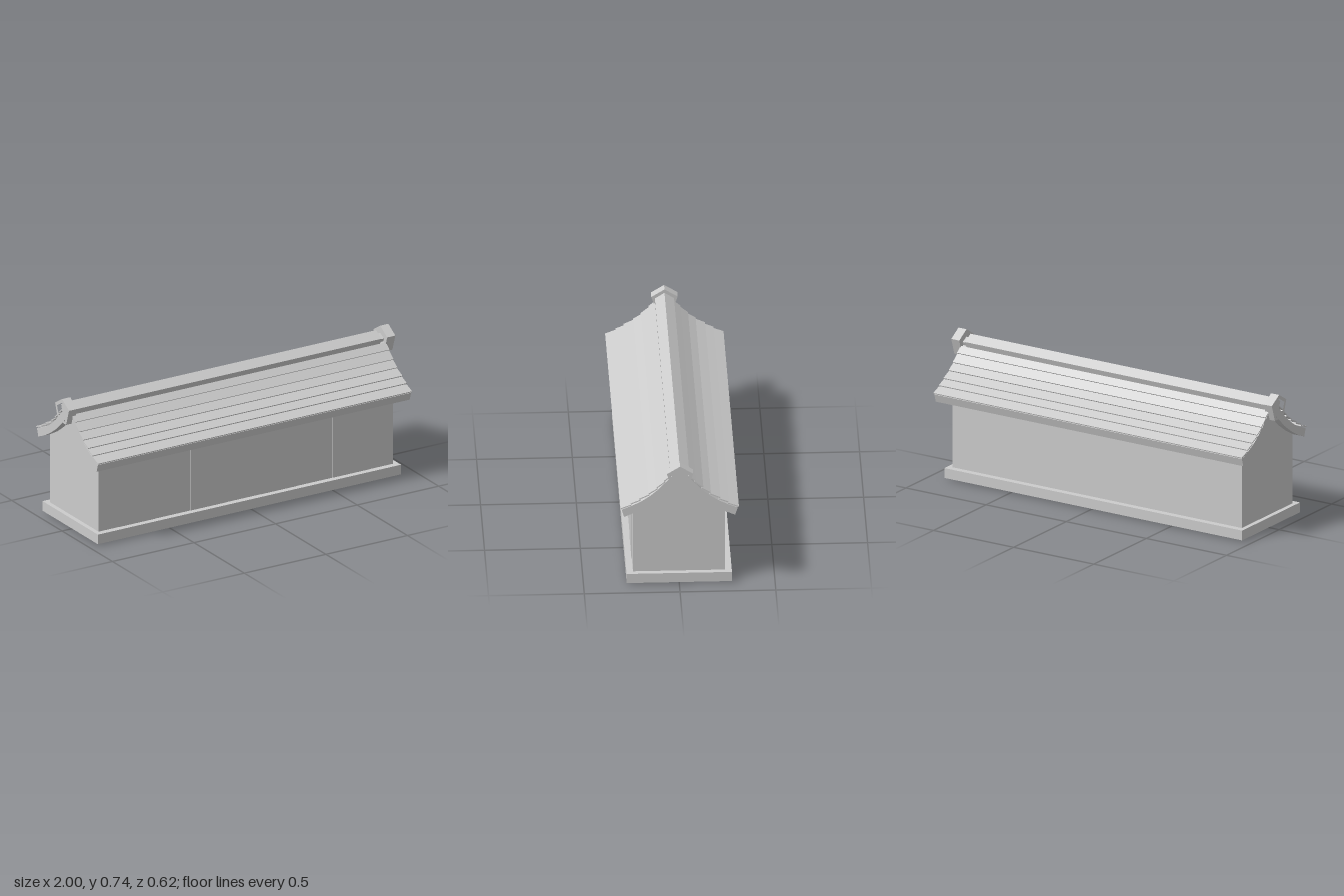
import * as THREE from 'three';

const material = new THREE.MeshStandardMaterial({ color: 0xcccccc, flatShading: true });

// Closed shape from [z, y] pairs, optionally mirrored in z
const outline = (points, side = 1) =>
  new THREE.Shape(points.map(([z, y]) => new THREE.Vector2(z * side, y)));

export function createModel() {
  const model = new THREE.Group();

  const add = (name, geometry) => {
    const mesh = new THREE.Mesh(geometry, material);
    mesh.name = name;
    model.add(mesh);
    return mesh;
  };

  // Sweeps a [z, y] shape along x from x0 to x1
  const sweep = (name, shape, x0, x1) => {
    const geometry = new THREE.ExtrudeGeometry(shape, { depth: x1 - x0, bevelEnabled: false });
    geometry.rotateY(-Math.PI / 2).translate(x1, 0, 0);
    return add(name, geometry);
  };

  const box = (name, x0, x1, y0, y1, z0, z1) => {
    const geometry = new THREE.BoxGeometry(x1 - x0, y1 - y0, z1 - z0);
    geometry.translate((x0 + x1) / 2, (y0 + y1) / 2, (z0 + z1) / 2);
    return add(name, geometry);
  };

  // Plinth: an open frame around the foot of the walls
  const rectangle = (path, x0, x1, z) =>
    path.moveTo(x0, -z).lineTo(x1, -z).lineTo(x1, z).lineTo(x0, z).closePath();
  const frame = rectangle(new THREE.Shape(), -0.95, 0.908, 0.275);
  frame.holes.push(rectangle(new THREE.Path(), -0.922, 0.877, 0.238));
  const plinth = new THREE.ExtrudeGeometry(frame, { depth: 0.054, bevelEnabled: false });
  plinth.rotateX(-Math.PI / 2).translate(0, 0.009, 0);
  add('plinth', plinth);

  // Hall with curved gables; its underside is the recessed floor
  const gableEdge = [[0.238, 0.45], [0.17, 0.489], [0.1, 0.54], [0.03, 0.606]];
  const gable = [[0.238, 0.056], ...gableEdge, [0, 0.63],
    ...gableEdge.map(([z, y]) => [-z, y]).reverse(), [-0.238, 0.056]];
  sweep('hall', outline(gable), -0.925, 0.88);

  // Wall panels, the front ones stepping slightly in depth
  const seams = [-0.925, -0.8, -0.58, -0.36, -0.14, 0.07, 0.29, 0.51, 0.74, 0.88];
  for (let i = 0; i < seams.length - 1; i++) {
    const proud = i % 2 ? 0.243 : 0.241;
    box('frontPanel', seams[i], seams[i + 1], i % 2 ? 0 : 0.003, 0.449, 0.234, proud);
  }
  box('backWall', -0.925, 0.88, 0.003, 0.449, -0.24, -0.234);

  // Sagging roof slopes and their overlapping tile courses
  const slope = [
    [0.303, 0.468], [0.25, 0.49], [0.2, 0.515], [0.155, 0.546], [0.115, 0.58],
    [0.075, 0.623], [0.045, 0.655], [0, 0.68], [0, 0.625], [0.03, 0.605],
    [0.1, 0.537], [0.17, 0.486], [0.235, 0.449], [0.29, 0.425],
  ];
  const courses = [
    [0.307, 0.472, 0.252, 0.493], [0.254, 0.5, 0.205, 0.52], [0.21, 0.527, 0.157, 0.551],
    [0.16, 0.557, 0.115, 0.585], [0.12, 0.59, 0.075, 0.626], [0.08, 0.63, 0.045, 0.659],
  ];
  for (const side of [1, -1]) {
    sweep(side > 0 ? 'frontRoof' : 'backRoof', outline(slope, side), -0.967, 0.952);
    for (const [z0, y0, z1, y1] of courses) {
      const length = Math.hypot(z1 - z0, y1 - y0);
      const dz = ((y1 - y0) / length) * 0.006;
      const dy = ((z0 - z1) / length) * 0.006;
      const tile = [[z0, y0], [z1, y1], [z1 + dz, y1 + dy], [z0 + dz, y0 + dy]];
      sweep('tileCourse', outline(tile, side), -0.97, 0.955);
    }
  }

  // Five-sided ridge beam
  const inner = [[0, 0.722], [0.05, 0.69], [0.028, 0.625], [-0.028, 0.625], [-0.05, 0.69]];
  const outer = [[0, 0.742], [0.069, 0.699], [0.04, 0.61], [-0.04, 0.61], [-0.069, 0.699]];
  sweep('ridge', outline(inner), -0.952, 0.925);
  const neck = inner.map(([z, y]) => [z * 0.75, 0.67 + (y - 0.67) * 0.6]);
  sweep('ridgeNeck', outline(neck), 0.92, 0.955);

  // Hollow-faced ridge ends
  for (const [x0, x1, plate] of [[-1, -0.95, -0.975], [0.95, 1, 0.95]]) {
    const ring = outline(outer);
    ring.holes.push(outline(inner));
    sweep('ridgeEnd', ring, x0, x1);
    sweep('ridgeEndPlate', outline(inner), plate, plate + 0.025);
  }

  return model;
}
